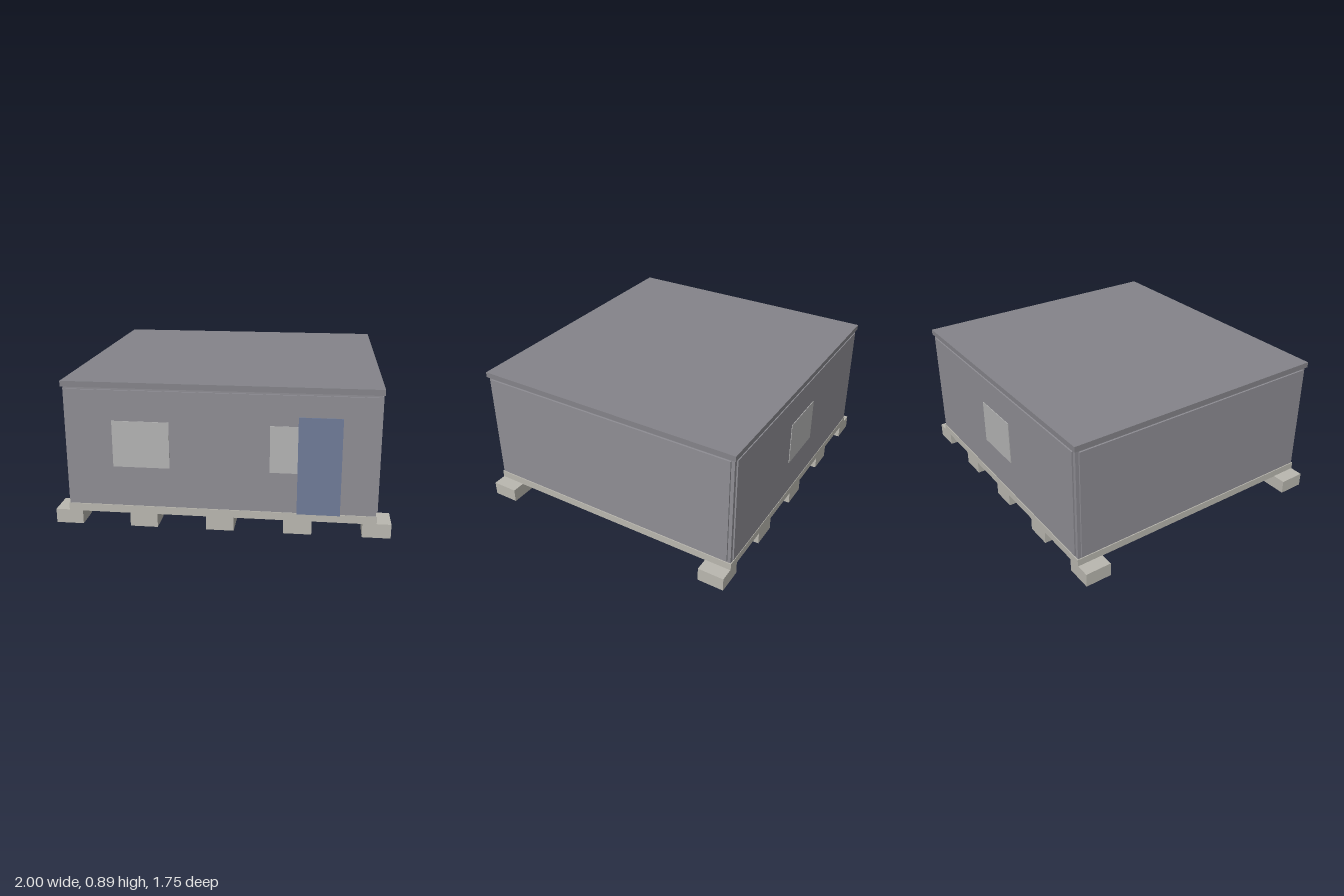
import * as THREE from 'three';

const mat = (color) => new THREE.MeshStandardMaterial({ color });

export function createModel() {
  const root = new THREE.Group();
  const concrete = mat(0xbab8b0);
  const wall = mat(0x8f8e94);
  const roofGrey = mat(0x85848a);
  const glass = mat(0xb4b4b4);
  const blue = mat(0x6f7b98);

  // Box given by its lower and upper corner
  function box(name, material, [x0, y0, z0], [x1, y1, z1]) {
    const mesh = new THREE.Mesh(new THREE.BoxGeometry(x1 - x0, y1 - y0, z1 - z0), material);
    mesh.position.set((x0 + x1) / 2, (y0 + y1) / 2, (z0 + z1) / 2);
    mesh.name = name;
    root.add(mesh);
    return mesh;
  }

  // Foundation blocks in two rows
  for (const z of [-0.78, 0.78]) {
    for (let i = -2; i <= 2; i++) {
      const x = i * 0.4583;
      box('foundationBlock', concrete, [x - 0.083, 0, z - 0.083], [x + 0.083, 0.087, z + 0.083]);
    }
  }

  // Floor slab in two halves
  box('floorSlabRight', concrete, [-0.915, 0.085, -0.865], [0, 0.132, 0.865]);
  box('floorSlabLeft', concrete, [0, 0.085, -0.865], [0.915, 0.132, 0.865]);

  // Wall core, which shows as a recessed frame around the panels
  box('wallCore', wall, [-0.909, 0.132, -0.859], [0.909, 0.857, 0.859]);

  // Raised wall panels and thin corner trims on each side
  for (const s of [-1, 1]) {
    const pz = [s * 0.855, s * 0.868].sort((a, b) => a - b);
    const px = [s * 0.905, s * 0.919].sort((a, b) => a - b);
    box(s > 0 ? 'frontPanel' : 'backPanel', wall, [-0.888, 0.145, pz[0]], [0.888, 0.842, pz[1]]);
    box(s > 0 ? 'leftPanel' : 'rightPanel', wall, [px[0], 0.145, -0.838], [px[1], 0.842, 0.838]);
  }

  // Flat roof
  box('roof', roofGrey, [-0.922, 0.855, -0.87], [0.922, 0.889, 0.87]);

  // Windows
  for (const [x, z] of [[-0.46, 0.867], [0.46, 0.867], [0, -0.867]]) {
    box('window', glass, [x - 0.168, 0.38, z - 0.005], [x + 0.168, 0.66, z + 0.005]);
  }

  // Door
  box('door', blue, [0.452, 0.13, 0.86], [0.702, 0.716, 0.874]);

  return root;
}
